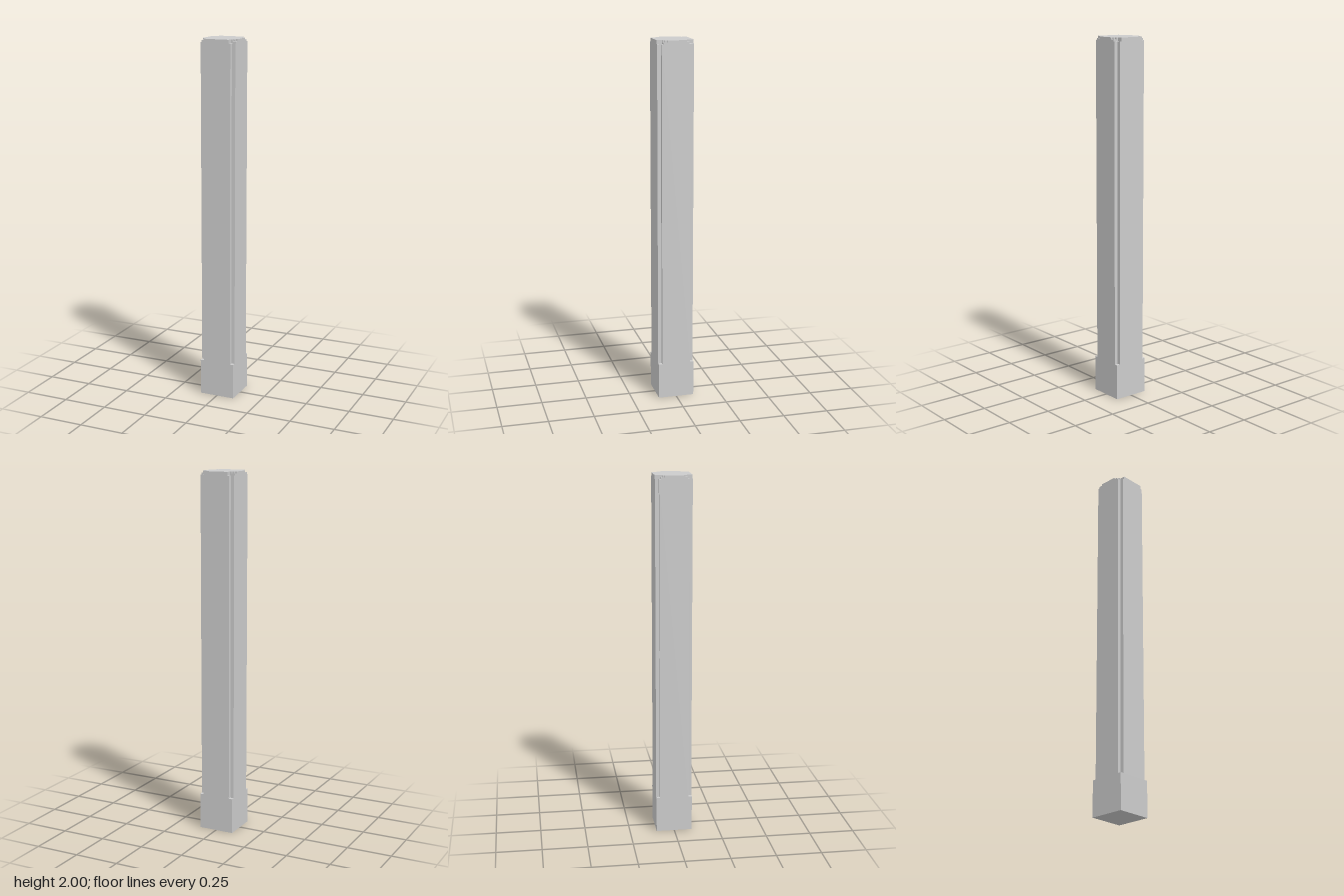
import * as THREE from 'three';

const HALF = 0.1;

// Outline of a square whose four corners follow one mirrored corner path,
// given as [x, z] points from the front face round to the side face.
function postOutline(corner) {
  const mirrored = (sx, sz) => corner.map(([x, z]) => new THREE.Vector2(x * sx, z * sz));
  return new THREE.Shape([
    ...mirrored(1, 1),
    ...mirrored(1, -1).reverse(),
    ...mirrored(-1, -1),
    ...mirrored(-1, 1).reverse(),
  ]);
}

// Square notch cut into a corner
const notch = (d) => [[HALF - d, HALF], [HALF - d, HALF - d], [HALF, HALF - d]];

export function createModel() {
  const group = new THREE.Group();
  group.name = 'post';
  const material = new THREE.MeshStandardMaterial({ color: 0xcccccc, flatShading: true });

  const layers = [
    // name, bottom, top, corner path
    ['squareBase', 0, 0.2, [[HALF, HALF]]],
    ['notchedShaft', 0.2, 1.98, notch(0.02)],
    ['neck', 1.98, 1.99, notch(0.03)],
    // Top edge steps back towards the side faces
    ['steppedTop', 1.99, 2, [
      [0.07, 0.1], [0.07, 0.07], [0.08, 0.07], [0.08, 0.06],
      [0.09, 0.06], [0.09, 0.05], [0.1, 0.05],
    ]],
  ];

  for (const [name, bottom, top, corner] of layers) {
    const geometry = new THREE.ExtrudeGeometry(postOutline(corner), {
      depth: top - bottom, bevelEnabled: false,
    });
    geometry.rotateX(-Math.PI / 2).translate(0, bottom, 0);
    const mesh = new THREE.Mesh(geometry, material);
    mesh.name = name;
    group.add(mesh);
  }
  return group;
}
